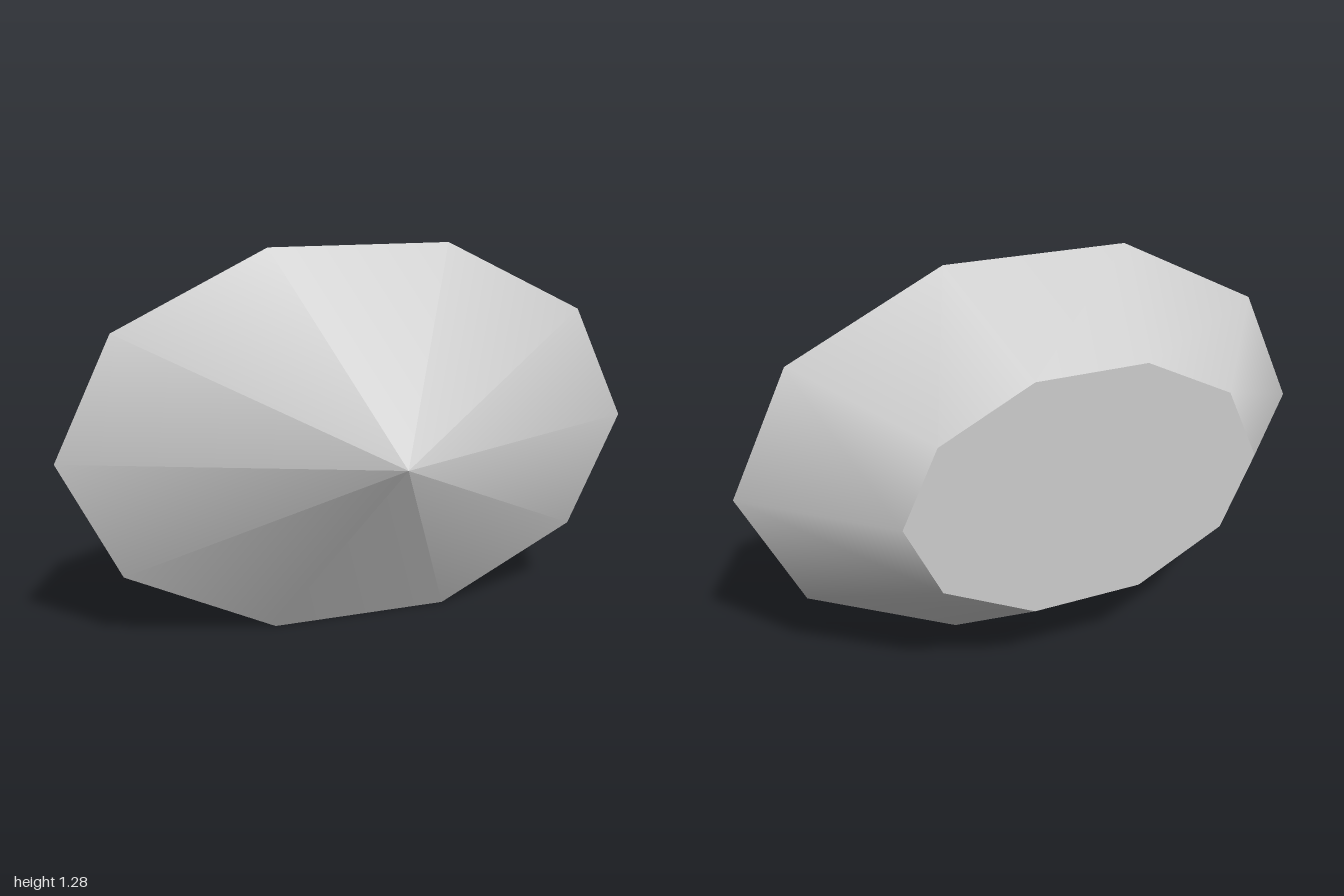
import * as THREE from 'three';

const SIDES = 10;
const RY = 0.673;        // vertical radius of the ten-sided outline (horizontal is 1)
const CENTRE_Y = 0.64;
const TIP_Z = 0.41, GIRDLE_Z = -0.02, BACK_Z = -0.41, BACK_SCALE = 0.6;

export function createModel() {
  const group = new THREE.Group();
  group.name = 'gem';
  const stone = new THREE.MeshStandardMaterial({ color: 0xcccccc });
  stone.name = 'grey stone';

  const add = (name, geometry) => {
    geometry.scale(1, RY, 1).translate(0, CENTRE_Y, 0);
    const mesh = new THREE.Mesh(geometry, stone);
    mesh.name = name;
    group.add(mesh);
  };

  // Open tapered band along z, with a corner pointing to each side
  const band = (frontRadius, backRadius, frontZ, backZ) =>
    new THREE.CylinderGeometry(frontRadius, backRadius, frontZ - backZ, SIDES, 1, true, Math.PI / 2)
      .rotateX(Math.PI / 2)
      .translate(0, 0, (frontZ + backZ) / 2);

  // Pointed front, tapered rear and flat back face
  add('frontPoint', band(0, 1, TIP_Z, GIRDLE_Z));
  add('rearTaper', band(1, BACK_SCALE, GIRDLE_Z, BACK_Z));
  add('backFace', new THREE.CircleGeometry(BACK_SCALE, SIDES).rotateY(Math.PI).translate(0, 0, BACK_Z));

  return group;
}
